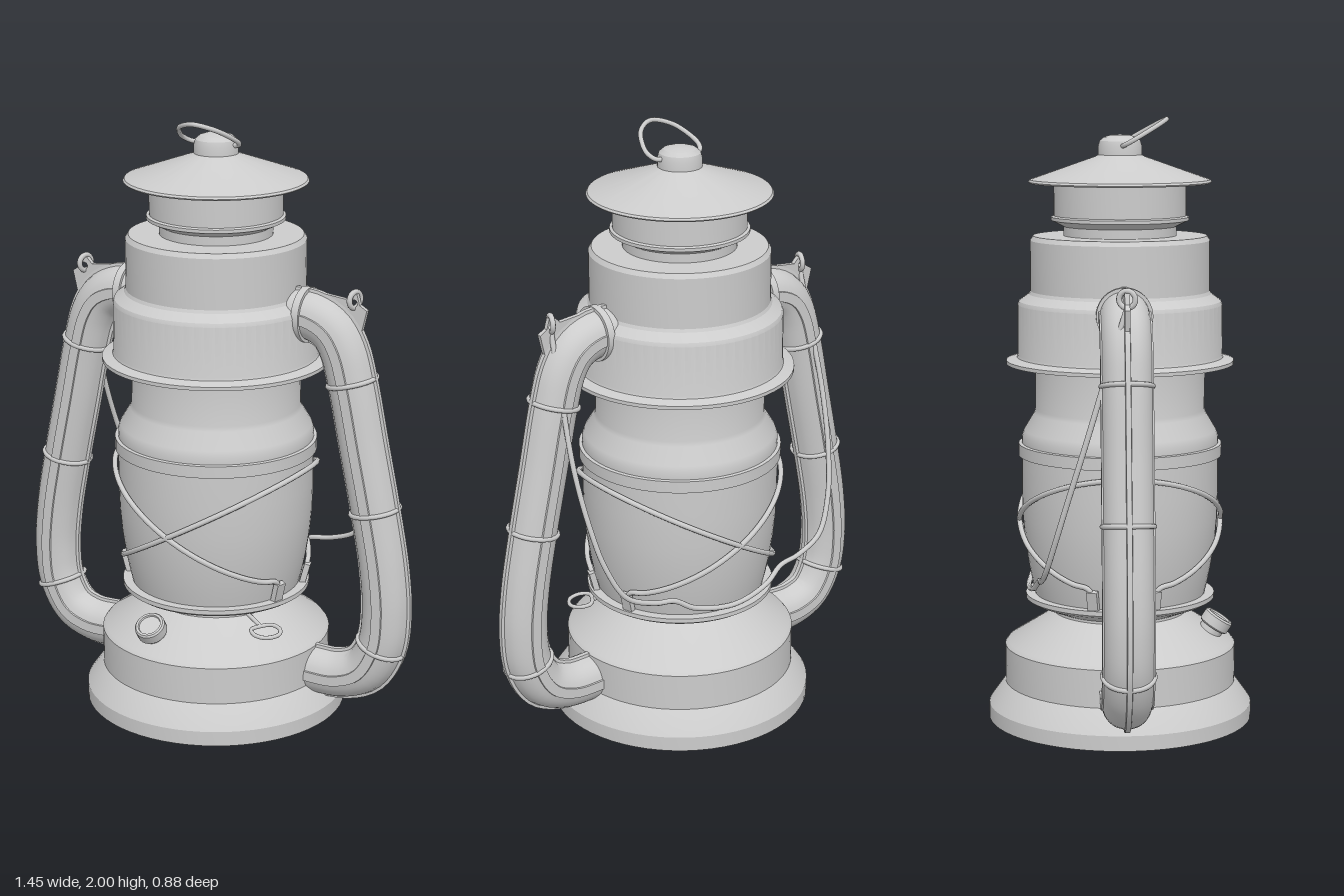
import * as THREE from 'three';
import { toCreasedNormals } from 'three/addons/utils/BufferGeometryUtils.js';

const grey = new THREE.MeshStandardMaterial({ color: 0xcccccc });

function add(parent, name, geometry) {
  const mesh = new THREE.Mesh(geometry, grey);
  mesh.name = name;
  parent.add(mesh);
  return mesh;
}

// Turned part from [radius, height] pairs, listed bottom to top
function turned(parent, name, profile, segments = 64) {
  const points = profile.map(([r, y]) => new THREE.Vector2(r, y));
  return add(parent, name, toCreasedNormals(new THREE.LatheGeometry(points, segments), 0.4));
}

// Bent wire through a list of points
function wire(parent, name, points, radius = 0.009, closed = false) {
  const curve = new THREE.CatmullRomCurve3(points.map(p => new THREE.Vector3(...p)), closed);
  return add(parent, name, new THREE.TubeGeometry(curve, points.length * 8, radius, 8, closed));
}

// Chimney glass radius at a height
const globeProfile = [[0.28, 0.41], [0.292, 0.46], [0.304, 0.52], [0.316, 0.6], [0.323, 0.68], [0.326, 0.78], [0.325, 0.89]];
function globeRadius(y) {
  for (let i = 1; i < globeProfile.length; i++) {
    const [r0, y0] = globeProfile[i - 1], [r1, y1] = globeProfile[i];
    if (y <= y1) return THREE.MathUtils.mapLinear(Math.max(y, y0), y0, y1, r0, r1);
  }
  return 0.325;
}

// Side tube: ribbed round section swept along a flat path
function ribbedSweep(path) {
  const section = [];
  for (let k = 0; k < 4; k++) {
    const mid = k * Math.PI / 2;
    const [half, height] = k % 2 ? [0.2, 0.084] : [0.09, 0.089];
    section.push([mid - half - 0.03, 0.079], [mid - half, height], [mid + half, height], [mid + half + 0.03, 0.079]);
    for (let j = 1; j < 6; j++) section.push([mid + 0.25 + (j / 6) * (Math.PI / 2 - 0.5), 0.079]);
  }
  const steps = 72, n = section.length, positions = [], index = [];
  for (let i = 0; i <= steps; i++) {
    const c = path.getPointAt(i / steps), t = path.getTangentAt(i / steps);
    for (const [a, r] of section) {
      positions.push(c.x - t.y * Math.cos(a) * r, c.y + t.x * Math.cos(a) * r, Math.sin(a) * r);
    }
    if (i === steps) break;
    for (let j = 0; j < n; j++) {
      const a = i * n + j, b = i * n + (j + 1) % n;
      index.push(a, b, a + n, b, b + n, a + n);
    }
  }
  const geometry = new THREE.BufferGeometry();
  geometry.setAttribute('position', new THREE.Float32BufferAttribute(positions, 3));
  geometry.setIndex(index);
  return toCreasedNormals(geometry, 0.5);
}

function makeSideTube() {
  const group = new THREE.Group();
  group.name = 'sideTube';
  const path = new THREE.CatmullRomCurve3([
    [0.27, 1.385], [0.36, 1.382], [0.425, 1.35], [0.465, 1.29], [0.495, 1.19], [0.54, 0.98], [0.585, 0.77],
    [0.622, 0.57], [0.634, 0.42], [0.62, 0.3], [0.565, 0.205], [0.48, 0.167], [0.36, 0.165],
  ].map(([x, y]) => new THREE.Vector3(x, y, 0)));
  add(group, 'tube', ribbedSweep(path));

  // Rings pressed around the tube
  for (const height of [1.19, 0.77, 0.3]) {
    let u = 0;
    while (path.getPointAt(u).y > height) u += 0.005;
    const band = add(group, 'tubeBand', new THREE.TorusGeometry(0.081, 0.008, 8, 40));
    band.position.copy(path.getPointAt(u));
    band.quaternion.setFromUnitVectors(new THREE.Vector3(0, 0, 1), path.getTangentAt(u));
  }

  // Collar where the tube meets the hood
  const collar = add(group, 'tubeCollar', new THREE.CylinderGeometry(0.09, 0.09, 0.025, 40));
  collar.rotation.z = Math.PI / 2;
  collar.position.set(0.33, 1.385, 0);

  // Upright plate that carries the bail
  const plate = new THREE.Shape();
  [[0.33, 1.47], [0.47, 1.455], [0.49, 1.475], [0.51, 1.475], [0.52, 1.44], [0.545, 1.425], [0.53, 1.36], [0.46, 1.34], [0.33, 1.42]]
    .forEach(([x, y], i) => (i ? plate.lineTo(x, y) : plate.moveTo(x, y)));
  const hole = new THREE.Path();
  hole.absarc(0.5, 1.445, 0.012, 0, Math.PI * 2, true);
  plate.holes.push(hole);
  add(group, 'bailLug', new THREE.ExtrudeGeometry(plate, { depth: 0.016, bevelEnabled: false })).position.z = -0.008;

  // Eye of the bail wire
  const eye = add(group, 'bailEye', new THREE.TorusGeometry(0.026, 0.009, 8, 24));
  eye.position.set(0.5, 1.455, 0);
  eye.rotation.y = Math.PI / 2 - 0.3;
  return group;
}

// Sloping guard wire around the glass, its ends hooked into the lower plate
function makeGuard() {
  const group = new THREE.Group();
  group.name = 'globeGuard';
  const points = [], end = 2.77;
  for (let i = 0; i <= 32; i++) {
    const a = -end + (2 * end * i) / 32;
    const y = 0.67 + 0.19 * Math.cos(a), r = globeRadius(y) + 0.012;
    points.push([r * Math.cos(a), y, r * Math.sin(a)]);
  }
  points.unshift([-0.275, 0.42, -0.095]);
  points.push([-0.275, 0.42, 0.095]);
  wire(group, 'guardWire', points);
  for (const s of [-1, 1]) {
    const clip = add(group, 'guardClip', new THREE.BoxGeometry(0.02, 0.07, 0.035));
    clip.position.set(-0.288, 0.455, s * 0.1);
    clip.rotation.set(0, s * 0.33, 0.25);
  }
  return group;
}

export function createModel() {
  const model = new THREE.Group();
  model.name = 'lantern';

  // Fuel tank and burner plate
  turned(model, 'tank', [[0, 0], [0.44, 0], [0.44, 0.05], [0.43, 0.065], [0.39, 0.12], [0.385, 0.125], [0.385, 0.25],
    [0.375, 0.262], [0.235, 0.35], [0.22, 0.36], [0.22, 0.38]]);
  turned(model, 'globePlate', [[0.2, 0.37], [0.225, 0.37], [0.3, 0.4], [0.315, 0.41], [0.315, 0.425], [0.28, 0.425], [0.2, 0.42]]);

  // Glass and the collar above it
  turned(model, 'globe', globeProfile);
  turned(model, 'globeCollar', [[0.32, 0.89], [0.336, 0.89], [0.336, 0.93], [0.325, 0.932], [0.325, 0.955], [0.318, 0.975],
    [0.285, 1.03], [0.28, 1.045], [0.28, 1.21]]);

  // Hood with its skirt, and the chimney
  turned(model, 'hood', [[0.27, 1.2], [0.375, 1.195], [0.375, 1.207], [0.34, 1.217], [0.337, 1.225], [0.337, 1.39], [0.332, 1.402],
    [0.3, 1.425], [0.295, 1.435], [0.295, 1.6], [0.285, 1.615], [0.18, 1.615]]);
  turned(model, 'chimney', [[0.185, 1.605], [0.185, 1.645], [0.215, 1.66], [0.226, 1.665], [0.226, 1.676], [0.217, 1.68], [0.217, 1.79]]);

  // Cap, knob and hanging ring
  turned(model, 'cap', [[0, 1.785], [0.295, 1.785], [0.3, 1.79], [0.295, 1.797], [0.08, 1.872], [0.07, 1.878]]);
  turned(model, 'capKnob', [[0.072, 1.865], [0.072, 1.905], [0.067, 1.922], [0.053, 1.934], [0.03, 1.941], [0, 1.943]], 32);
  const ring = [[-0.05, 0.005], [-0.085, 0.01], [-0.1, 0.035], [-0.092, 0.075], [-0.06, 0.125], [0, 0.152],
    [0.06, 0.125], [0.092, 0.075], [0.1, 0.035], [0.085, 0.01], [0.05, 0.005]];
  wire(model, 'hangingRing', ring.map(([x, z]) => [x, 1.904 + z * 0.58, z]), 0.008);

  // Tubes and guard wires, paired by a half turn
  for (const turn of [0, Math.PI]) {
    const tube = makeSideTube(), guard = makeGuard();
    tube.rotation.y = guard.rotation.y = turn;
    model.add(tube, guard);
  }

  // Bail handle hanging down behind the glass
  const half = [[0.5, 1.43, 0], [0.508, 1.2, -0.07], [0.51, 1, -0.13], [0.492, 0.82, -0.185], [0.46, 0.68, -0.225],
    [0.4, 0.57, -0.255], [0.3, 0.525, -0.268], [0.22, 0.51, -0.272], [0.15, 0.47, -0.288]];
  const mirrored = half.map(([x, y, z]) => [-x, y, z]).reverse();
  wire(model, 'bail', [...half, [0, 0.445, -0.305], ...mirrored]);

  // Filler cap on the tank shoulder
  const filler = new THREE.Group();
  filler.name = 'fillerCap';
  turned(filler, 'fillerNeck', [[0.04, -0.03], [0.04, 0.02]], 24);
  turned(filler, 'fillerLid', [[0, 0.012], [0.046, 0.012], [0.051, 0.017], [0.051, 0.05], [0.046, 0.056], [0.038, 0.056], [0.036, 0.05], [0, 0.05]], 24);
  filler.position.set(-0.07, 0.305, 0.3);
  filler.rotation.x = 0.58;
  model.add(filler);

  // Wick lever with its wire loop
  const lever = new THREE.Group();
  lever.name = 'wickLever';
  wire(lever, 'leverRod', [[0.15, 0.012, 0], [0.22, 0.012, 0], [0.3, 0, 0]], 0.007);
  wire(lever, 'leverLoop', [[0.3, 0, 0], [0.31, 0, 0.04], [0.345, -0.004, 0.048], [0.375, -0.008, 0.025],
    [0.375, -0.008, -0.025], [0.345, -0.004, -0.048], [0.31, 0, -0.04]], 0.007, true);
  lever.position.y = 0.348;
  lever.rotation.y = -0.56;
  model.add(lever);

  return model;
}
